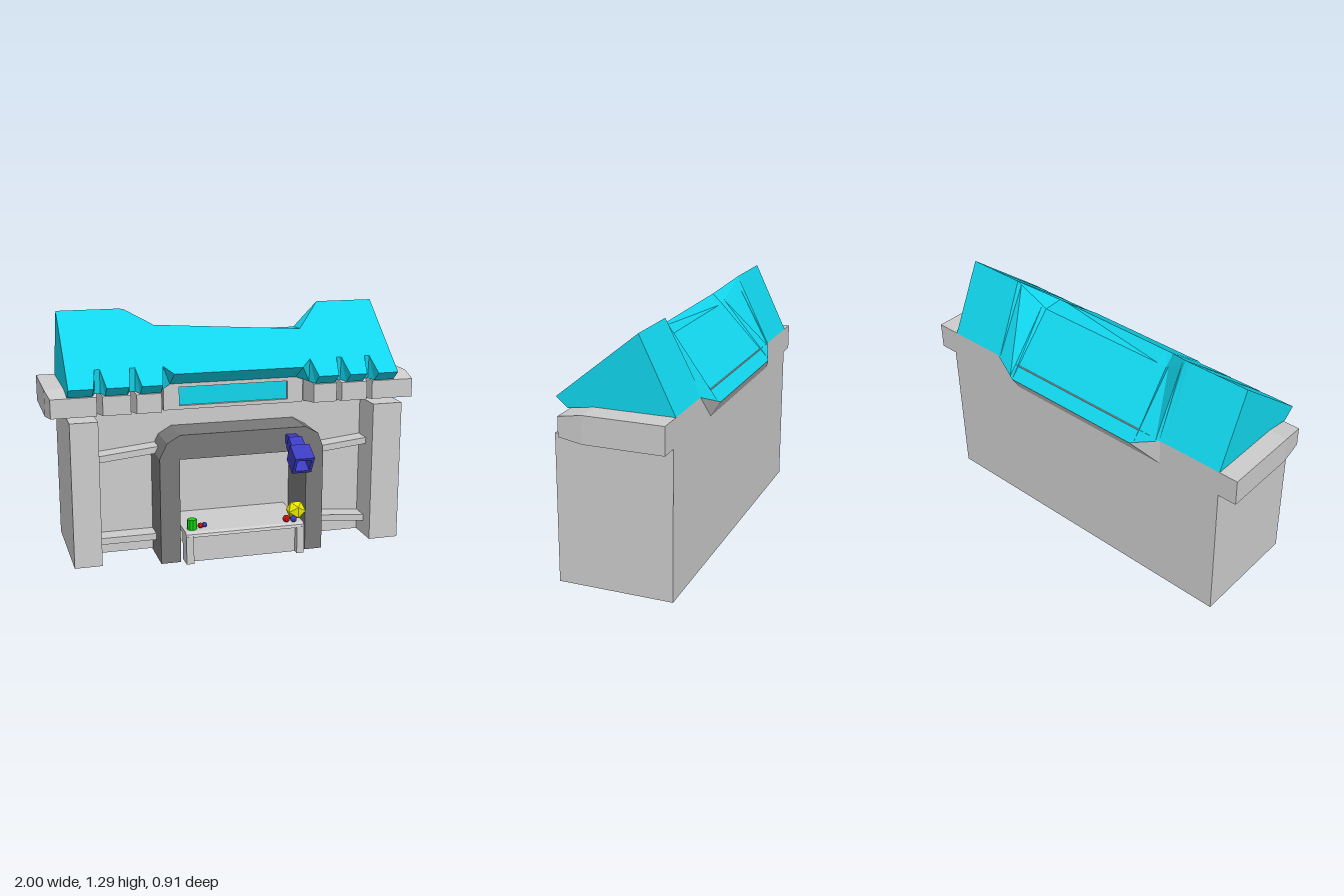
import * as THREE from 'three';

const material = (color) => new THREE.MeshStandardMaterial({ color, flatShading: true });
const GREY = material(0xcccccc), DARK = material(0x787878), CYAN = material(0x11d5ec);
const NAVY = material(0x3c3cc0), RED = material(0xd01010), GREEN = material(0x10d010), YELLOW = material(0xe6e600);

export function createModel() {
  const model = new THREE.Group();

  const add = (name, geometry, mat = GREY, parent = model) => {
    const mesh = new THREE.Mesh(geometry, mat);
    mesh.name = name;
    parent.add(mesh);
    return mesh;
  };
  // box given by its extents on each axis
  const box = (name, [x0, x1], [y0, y1], [z0, z1], mat, parent) => {
    const mesh = add(name, new THREE.BoxGeometry(x1 - x0, y1 - y0, z1 - z0), mat, parent);
    mesh.position.set((x0 + x1) / 2, (y0 + y1) / 2, (z0 + z1) / 2);
    return mesh;
  };
  const shapeOf = (pts) => new THREE.Shape(pts.map(([x, y]) => new THREE.Vector2(x, y)));
  const rect = (w, h) => [[-w, -h], [w, -h], [w, h], [-w, h]];
  const extrude = (shape, z0, z1) =>
    new THREE.ExtrudeGeometry(shape, { depth: z1 - z0, bevelEnabled: false }).translate(0, 0, z0);
  // closed loft through equal-length loops of [x, y, z]
  const loft = (loops) => {
    const pos = [], n = loops[0].length;
    const tri = (...c) => {
      const [a, b, d] = c.map((p) => new THREE.Vector3(...p));
      if (b.sub(a).cross(d.sub(a)).length() > 1e-7) pos.push(...c.flat());
    };
    for (let i = 0; i + 1 < loops.length; i++) {
      for (let j = 0; j < n; j++) {
        const k = (j + 1) % n, a = loops[i], b = loops[i + 1];
        tri(a[j], a[k], b[k]);
        tri(a[j], b[k], b[j]);
      }
    }
    const s = loops[0], e = loops[loops.length - 1];
    for (let j = 1; j + 1 < n; j++) {
      tri(s[0], s[j + 1], s[j]);
      tri(e[0], e[j], e[j + 1]);
    }
    const g = new THREE.BufferGeometry();
    g.setAttribute('position', new THREE.Float32BufferAttribute(pos, 3));
    g.computeVertexNormals();
    return g;
  };

  // building body with an alcove behind the arch
  box('rearBody', [-0.9, 0.9], [0.01, 0.78], [-0.405, -0.07]);
  add('frontWall', extrude(shapeOf([[-0.76, 0.01], [-0.4, 0.01], [-0.4, 0.6], [0.4, 0.6], [0.4, 0.01],
    [0.76, 0.01], [0.76, 0.78], [-0.76, 0.78]]), -0.07, 0));
  box('upperBody', [-0.45, 0.45], [0.78, 0.92], [-0.405, 0]);

  // side pillars, eave ledges and rails
  for (const s of [-1, 1]) {
    const span = (a, b) => (s > 0 ? [a, b] : [-b, -a]);
    box('pillar', span(s > 0 ? 0.735 : 0.755, 0.9), [0.01, 0.78], [-0.07, 0.19]);
    box('ledge', span(0.42, 1), [0.78, 0.92], [-0.405, 0]);
    for (const [a, b, end] of [[0.4, 0.56, 0.545], [0.56, 0.735, 0.72], [0.735, 1, 0.985]]) {
      const [x0, x1] = span(a, b), [f0, f1] = span(a + 0.015, end);
      add('ledgeFront', loft([[x0, f0], [x1, f1]].map(([r, f]) => [
        [r, 0.92, 0], [f, 0.895, 0.13], [f, 0.795, 0.13], [r, 0.78, 0]])));
    }
  }
  const rail = (x0, y0, x1, y1) => {
    const mesh = add('rail', new THREE.BoxGeometry(Math.hypot(x1 - x0, y1 - y0) + 0.02, 0.035, 0.1));
    mesh.position.set((x0 + x1) / 2, (y0 + y1) / 2, 0.05);
    mesh.rotation.z = Math.atan2(y1 - y0, x1 - x0);
  };
  rail(-0.76, 0.555, -0.44, 0.588);
  rail(0.43, 0.522, 0.74, 0.555);
  rail(-0.76, 0.11, -0.44, 0.11);
  rail(0.43, 0.132, 0.74, 0.105);

  // dark entrance arch
  add('arch', extrude(shapeOf([[-0.45, 0], [-0.345, 0], [-0.345, 0.56], [0.345, 0.56], [0.345, 0], [0.44, 0],
    [0.44, 0.57], [0.41, 0.65], [0.34, 0.69], [-0.34, 0.69], [-0.41, 0.65], [-0.45, 0.57]]), -0.07, 0.22), DARK);

  // sign above the arch
  const frame = shapeOf([[-0.385, 0.78], [0.385, 0.78], [0.385, 0.925], [-0.385, 0.925]]);
  frame.holes.push(shapeOf([[-0.3, 0.8], [0.3, 0.8], [0.3, 0.9], [-0.3, 0.9]]));
  add('signFrame', extrude(frame, 0, 0.03));
  box('signPanel', [-0.3, 0.3], [0.8, 0.9], [0, 0.012], CYAN);

  // roof: ridge, crest, lip, under edge, base and back of each cross-section
  const lips = {
    tooth: [[0.95, 0.195], [0.9, 0.135]],
    slot: [[1.03, 0.1], [0.905, 0.09]],
    middle: [[0.995, 0.15], [0.92, 0.03]],
  };
  const roofSection = (x, kind) => {
    const t = THREE.MathUtils.clamp((0.55 - Math.abs(x)) / 0.15, 0, 1);
    const mix = (a, b) => a + (b - a) * t;
    const crestY = mix(1.29, 1.188 - 0.056 * x);
    const [lip, under] = lips[kind];
    return [
      [x, mix(1.29, 1.16), mix(-0.225, -0.18)],
      [x, crestY, -0.225 + (1.29 - crestY) / 0.81],
      [x, ...lip], [x, ...under], [x, 0.92, 0],
      [x, mix(0.92, 0.86), mix(-0.405, -0.455)],
    ];
  };
  const slot = (c) => [[c - 0.033, 'tooth'], [c - 0.014, 'slot'], [c + 0.014, 'slot'], [c + 0.033, 'tooth']];
  const stations = [
    [-0.9, 'tooth'], ...slot(-0.74), ...slot(-0.56), [-0.42, 'tooth'], [-0.4, 'slot'], [-0.35, 'middle'],
    [0.345, 'middle'], [0.4, 'slot'], [0.42, 'tooth'], ...slot(0.564), ...slot(0.725), [0.87, 'tooth'],
  ];
  add('roof', loft(stations.map(([x, kind]) => roofSection(x, kind))), CYAN);

  // swelling of the rear wall under the roof
  add('rearBulge', loft([[-0.55, 0], [-0.4, 1], [0.4, 1], [0.55, 0]].map(([x, t]) => [
    [x, 0.92 - 0.06 * t, -0.4], [x, 0.78, -0.4], [x, 0.78, -0.405], [x, 0.92 - 0.06 * t, -0.405 - 0.05 * t]])));

  // counter
  const counter = new THREE.Group();
  counter.name = 'counter';
  model.add(counter);
  const top = new THREE.Shape();
  top.moveTo(0.07, 0.155).lineTo(-0.29, 0.155).lineTo(-0.285, 0.17).lineTo(-0.27, 0.18).lineTo(0.07, 0.18);
  add('counterTop', extrude(top, -0.33, 0.315).rotateY(Math.PI / 2), GREY, counter);
  for (const x of [-0.33, 0.275]) box('counterLeg', [x, x + 0.04], [0.01, 0.16], [0.2, 0.29], GREY, counter);
  box('counterPanel', [-0.3, 0.29], [0.01, 0.16], [0.22, 0.255], GREY, counter);

  // hanging lamp
  const lamp = new THREE.Group();
  lamp.name = 'lamp';
  model.add(lamp);
  box('lampStem', [0.228, 0.285], [0.605, 0.655], [0.2, 0.28], NAVY, lamp);
  const head = new THREE.Group();
  head.name = 'lampHead';
  head.position.set(0.255, 0.565, 0.385);
  head.rotation.x = Math.PI / 6;
  lamp.add(head);
  const hood = shapeOf(rect(0.052, 0.052));
  hood.holes.push(shapeOf(rect(0.037, 0.037)));
  add('lampHood', extrude(hood, -0.03, 0.052), NAVY, head);
  box('lampHoodBack', [-0.052, 0.052], [-0.052, 0.052], [-0.052, -0.03], NAVY, head);
  box('lampNeck', [-0.037, 0.037], [-0.037, 0.037], [-0.125, -0.05], NAVY, head);

  // goods on the counter
  const good = (name, geometry, mat, x, y, z) => add(name, geometry, mat).position.set(x, y, z);
  good('yellowGem', new THREE.IcosahedronGeometry(0.055, 0), YELLOW, 0.29, 0.23, 0.22);
  good('greenCan', new THREE.CylinderGeometry(0.026, 0.026, 0.055, 10), GREEN, -0.285, 0.207, 0.225);
  for (const [mat, r, x, z] of [[RED, 0.02, 0.225, 0.255], [NAVY, 0.018, 0.262, 0.265],
    [RED, 0.015, -0.24, 0.225], [NAVY, 0.014, -0.215, 0.215]]) {
    good('bead', new THREE.IcosahedronGeometry(r, 1), mat, x, 0.18 + r, z);
  }
  return model;
}
